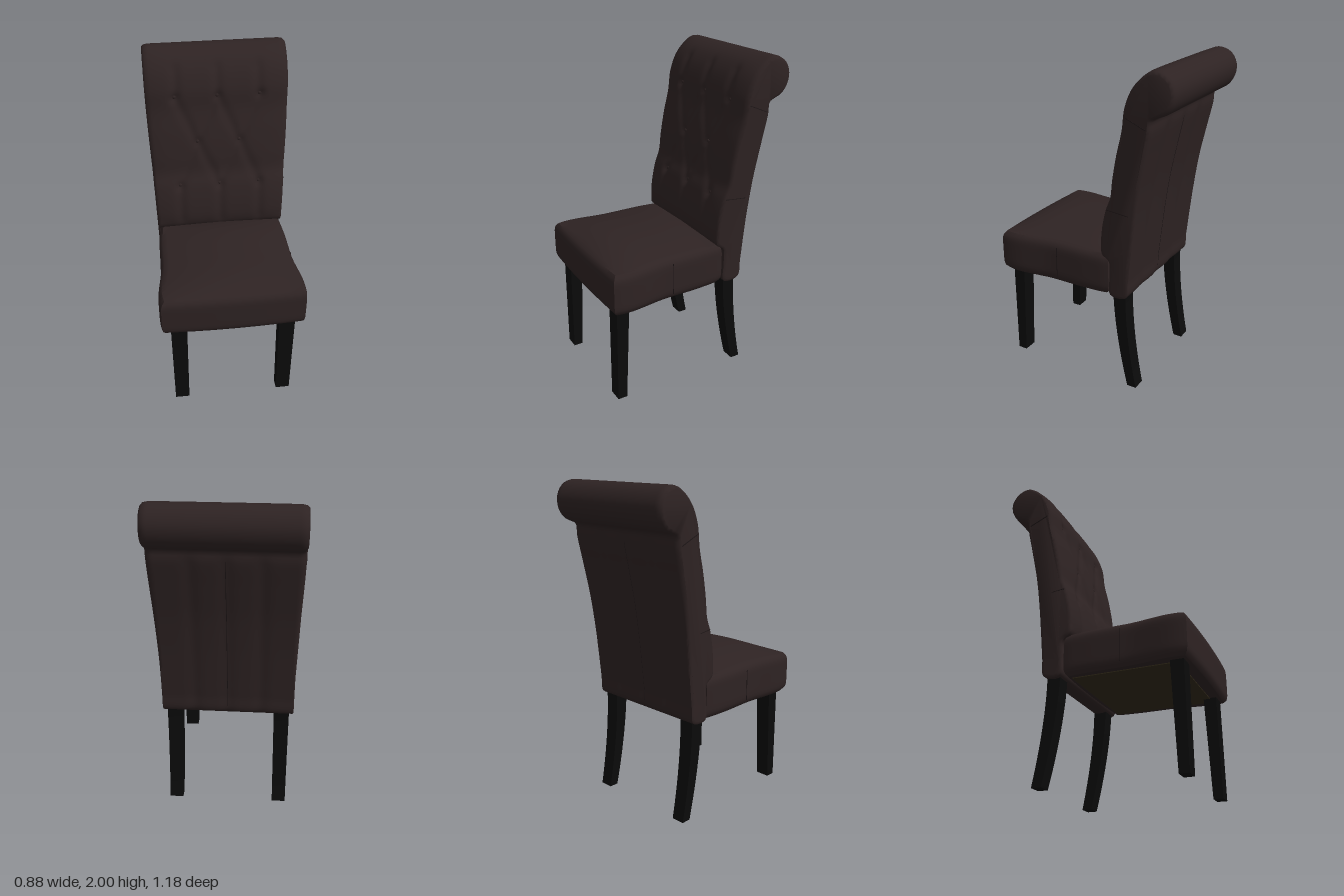
import * as THREE from 'three';
import { mergeGeometries, toCreasedNormals } from 'three/addons/utils/BufferGeometryUtils.js';

const { clamp, smoothstep } = THREE.MathUtils;
const HALF = 0.4; // half width of the padded back

// Backrest outline as [z, y]: up the front, over the scroll, down the back
const OUTLINE = [
  [-0.195, 0.63], [-0.19, 0.75], [-0.185, 0.85], [-0.14, 0.885], [-0.122, 0.94], [-0.127, 1.05],
  [-0.155, 1.18], [-0.185, 1.26], [-0.2, 1.37], [-0.228, 1.52], [-0.262, 1.66], [-0.28, 1.79],
  [-0.325, 1.9], [-0.39, 1.97], [-0.48, 2.0], [-0.55, 1.972], [-0.588, 1.905], [-0.58, 1.83],
  [-0.54, 1.775], [-0.49, 1.752], [-0.46, 1.735], [-0.455, 1.67], [-0.42, 1.5], [-0.38, 1.3],
  [-0.352, 1.1], [-0.33, 0.9], [-0.315, 0.75], [-0.3, 0.635],
];

// Tufting: button positions and the creases that join them
const BUTTONS = [[-0.26, 1.74], [0, 1.74], [0.26, 1.74], [-0.13, 1.46], [0.13, 1.46],
  [-0.25, 1.18], [0, 1.18], [0.25, 1.18]];
const CREASES = [[0, 3], [1, 3], [1, 4], [2, 4], [3, 5], [3, 6], [4, 6], [4, 7]]
  .map(([a, b]) => [...BUTTONS[a], ...BUTTONS[b]]);
for (const x of [-0.25, 0, 0.25]) CREASES.push([x, 1.74, x, 1.9], [x, 1.18, x, 0.9]);

const bell = (d, w) => Math.exp(-(d * d) / (w * w));

function segmentDistance(x, y, [ax, ay, bx, by]) {
  const dx = bx - ax, dy = by - ay;
  const t = clamp(((x - ax) * dx + (y - ay) * dy) / (dx * dx + dy * dy), 0, 1);
  return Math.hypot(x - ax - dx * t, y - ay - dy * t);
}

function tuftDepth(x, y) {
  const crease = Math.max(...CREASES.map((c) => bell(segmentDistance(x, y, c), 0.03)));
  const button = Math.max(...BUTTONS.map(([bx, by]) => bell(Math.hypot(x - bx, y - by), 0.025)));
  return 0.01 * crease + 0.014 * button + 0.014 * (x / HALF) ** 6;
}

const channelDepth = (x) => 0.007 * Math.max(...[-0.2, 0, 0.2].map((c) => bell(x - c, 0.04)));
const sideBulge = (y) => 0.006 + 0.029 * smoothstep(y, 0.8, 1.85);

function backProfile() {
  const curve = new THREE.CatmullRomCurve3(OUTLINE.map(([z, y]) => new THREE.Vector3(0, y, z)), true);
  const pts = curve.getSpacedPoints(160).slice(0, -1);
  const n = pts.length;
  return pts.map((p, i) => {
    const t = pts[(i + 2) % n].clone().sub(pts[(i + n - 2) % n]).normalize();
    return { y: p.y, z: p.z, ny: -t.z, nz: t.y };
  });
}

// Padded back: the outline swept across x, with tufts, channels and rounded ends
function backGeometry(profile) {
  const n = profile.length;
  const sections = [[-HALF, 1, 0.018], [-HALF, 0.65, 0.005]];
  for (let i = 0; i <= 64; i++) sections.push([-HALF + (2 * HALF * i) / 64, 0, 0]);
  sections.push([HALF, 0.65, 0.005], [HALF, 1, 0.018]);
  const rows = sections.map(([x, bulge, inset]) => profile.map((p) => {
    let depth = inset;
    if (p.nz > 0) depth += tuftDepth(x, p.y) * smoothstep(p.nz, 0.1, 0.7) * smoothstep(p.y, 0.88, 0.95);
    if (p.nz < -0.6 && p.y < 1.73) depth += channelDepth(x) * smoothstep(1.73 - p.y, 0, 0.08);
    // the outward normal is (ny, nz), so depth moves inward
    const y = p.y - p.ny * depth, z = p.z - p.nz * depth;
    return [x + Math.sign(x) * bulge * sideBulge(y), y, z];
  }));
  const index = [];
  for (let i = 0; i < rows.length - 1; i++) {
    for (let j = 0; j < n; j++) {
      const a = i * n + j, b = i * n + ((j + 1) % n);
      index.push(a, a + n, b + n, a, b + n, b);
    }
  }
  const shell = new THREE.BufferGeometry();
  shell.setAttribute('position', new THREE.Float32BufferAttribute(rows.flat(2), 3));
  shell.setIndex(index);

  // End caps close the two sides
  const caps = [-1, 1].map((s) => {
    const row = s < 0 ? rows[0] : rows[rows.length - 1];
    const cap = new THREE.ShapeGeometry(new THREE.Shape(row.map(([, y, z]) => new THREE.Vector2(-s * z, y))));
    cap.rotateY((s * Math.PI) / 2);
    const pos = cap.attributes.position;
    for (let i = 0; i < pos.count; i++) pos.setX(i, s * (HALF + sideBulge(pos.getY(i))));
    cap.deleteAttribute('normal');
    cap.deleteAttribute('uv');
    return cap;
  });
  return toCreasedNormals(mergeGeometries([shell, ...caps]), 0.8);
}

// Box whose unit coordinates (-1..1) are moved by a rule
function shapedBox(sx, sy, sz, rule, crease) {
  const geo = new THREE.BoxGeometry(2, 2, 2, sx, sy, sz);
  const pos = geo.attributes.position;
  for (let i = 0; i < pos.count; i++) pos.setXYZ(i, ...rule(pos.getX(i), pos.getY(i), pos.getZ(i)));
  return toCreasedNormals(geo, crease);
}

// Seat cushion: domed on top, flaring to the front
function seatRule(u, v, w) {
  const round = Math.abs(v) ** 7;
  const half = 0.412 + 0.03 * smoothstep(w, 0, 0.8) - 0.008 * smoothstep(-w, 0.4, 1);
  const x = u * half * (1 - 0.055 * round) * (1 - 0.025 * w ** 12);
  const z = 0.2 + w * (0.39 - 0.022 * round - 0.012 * u * u);
  const dome = v > 0 ? 0.05 * v * (1 - u * u) * (1 - w ** 4) : 0;
  return [x, 0.752 + v * 0.13 + dome, z];
}

export function createModel() {
  const mat = (name, color) => Object.assign(new THREE.MeshStandardMaterial({ color }), { name });
  const upholstery = mat('dark brown upholstery', 0x2e2323);
  const seam = mat('seam', 0x1c1516);
  const wood = mat('black wood', 0x0b0b0b);
  const lining = mat('olive lining', 0x322a1a);

  const model = new THREE.Group();
  model.name = 'diningChair';
  const add = (name, geo, material, x = 0, y = 0, z = 0) => {
    const mesh = new THREE.Mesh(geo, material);
    mesh.name = name;
    mesh.position.set(x, y, z);
    model.add(mesh);
    return mesh;
  };

  const profile = backProfile();
  add('backrest', backGeometry(profile), upholstery);
  add('seat', shapedBox(28, 14, 28, seatRule, 0.7), upholstery);
  add('seatLining', new THREE.BoxGeometry(0.7, 0.006, 0.64), lining, 0, 0.62, 0.18);

  // Buttons sunk into the tufts
  const buttonGeo = new THREE.SphereGeometry(0.011, 12, 8).scale(1, 1, 0.5);
  for (const [x, y] of BUTTONS) {
    const p = profile.filter((q) => q.nz > 0.5)
      .reduce((a, b) => (Math.abs(a.y - y) < Math.abs(b.y - y) ? a : b));
    add('button', buttonGeo, upholstery, x, y, p.z - 0.022);
  }

  // Centre seam down the rear of the back
  const rear = profile.filter((p) => p.nz < -0.6 && p.y < 1.7 && p.y > 0.66)
    .map((p) => new THREE.Vector3(0, p.y, p.z + 0.007));
  add('rearSeam', new THREE.TubeGeometry(new THREE.CatmullRomCurve3(rear), 40, 0.002, 5), seam);

  for (const s of [-1, 1]) {
    const side = s > 0 ? 'left' : 'right';

    // Stitched joins on the side panels
    add(side + 'SeatSeam', new THREE.BoxGeometry(0.004, 0.2, 0.004), seam, s * 0.412, 0.752, 0.178);
    for (const [y, z, length, tilt] of [[1.175, -0.25, 0.14, -0.1], [1.71, -0.37, 0.13, -0.4]]) {
      const join = add(side + 'BackSeam', new THREE.BoxGeometry(0.004, 0.004, length), seam,
        s * (HALF + sideBulge(y)), y, z);
      join.rotation.x = tilt;
    }

    // Straight tapered front leg and swept rear leg
    add(side + 'FrontLeg', shapedBox(1, 1, 1, (u, v, w) => {
      const t = (1 - v) / 2;
      return [s * 0.331 + u * (0.049 - 0.005 * t), 0.315 * (v + 1), 0.5 + 0.015 * t + w * (0.04 - 0.01 * t)];
    }, 0.5), wood);
    add(side + 'RearLeg', shapedBox(1, 12, 1, (u, v, w) => {
      const t = (1 - v) / 2;
      return [s * 0.331 + u * (0.047 - 0.005 * t), 0.32 * (v + 1),
        -0.245 - 0.085 * t ** 1.7 + w * (0.041 - 0.011 * t)];
    }, 0.5), wood);
  }
  return model;
}
